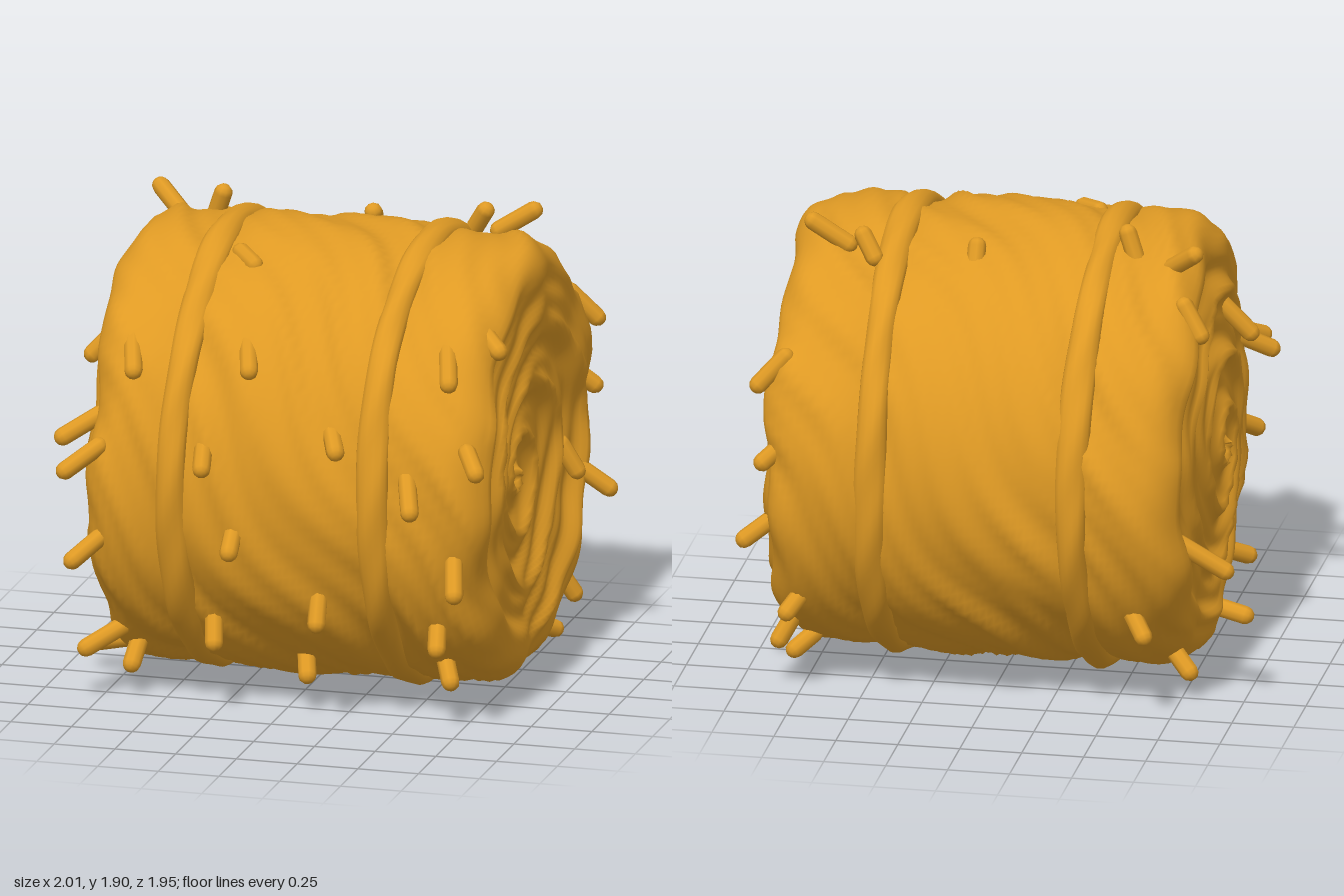
import * as THREE from 'three';
import { mergeVertices } from 'three/addons/utils/BufferGeometryUtils.js';

const CY = 0.94, CZ = -0.06, R = 0.9, CORNER = 0.15;
const BANDS = [-0.39, 0.43];
const straw = new THREE.MeshStandardMaterial({ color: 0xdf9a24 });
straw.name = 'straw';

const ridge = (t) => 1 - 2 * Math.abs(Math.sin(t / 2)) ** 0.8;
const smooth = THREE.MathUtils.smoothstep;

// Lathe about the x axis, then each vertex (x, radius, angle from the top) moved by a rule
function rolled(profile, segments, rule) {
  let geo = new THREE.LatheGeometry(profile, segments);
  geo.rotateZ(-Math.PI / 2);
  const p = geo.attributes.position;
  for (let i = 0; i < p.count; i++) {
    const r0 = Math.hypot(p.getY(i), p.getZ(i));
    const a = Math.atan2(p.getZ(i), p.getY(i));
    const { x, r, dy = 0, dz = 0 } = rule(p.getX(i), r0, a);
    p.setXYZ(i, x, CY + dy + r * Math.cos(a), CZ + dz + r * Math.sin(a));
  }
  geo.deleteAttribute('uv');
  geo.deleteAttribute('normal');
  geo = mergeVertices(geo, 1e-5);
  geo.computeVertexNormals();
  return geo;
}

// Wrinkles that wind diagonally round the roll
function wrinkle(x, a) {
  const p = a - 2 * x + 0.12 * Math.sin(3 * a + 4 * x);
  const mask = 0.6 + 0.4 * Math.sin(2 * a + 5 * x);
  return 0.011 * Math.sin(7 * p + 1.5 * Math.sin(2 * x)) + 0.013 * mask * ridge(13 * p + 2 * Math.sin(a + 3 * x))
    + 0.006 * Math.sin(22 * p + 2 * Math.sin(2 * a - 4 * x)) + 0.006 * Math.sin(3 * a + 1);
}

// Spiral layers on the round ends
function spiral(r, a, side) {
  const warp = 0.45 * Math.sin(3 * a + 5 * r) * smooth(r, 0.15, 0.5);
  const t = 2 * Math.PI * 4.6 * Math.pow(r, 0.8) + side * a + warp;
  const amp = 0.026 * (0.85 + 0.4 * Math.sin(2 * a + 6 * r + side) * smooth(r, 0.2, 0.5));
  return amp * ridge(t) + 0.008 * Math.sin(2 * t + 3 * Math.sin(2 * a)) * smooth(r, 0.1, 0.4);
}

// Half profile from the middle of one end to its rounded rim
function capProfile(rimX, centreX) {
  const pts = [], count = 42, flat = R - CORNER;
  for (let i = 0; i < count; i++) {
    const r = flat * i / count;
    pts.push(new THREE.Vector2(r, THREE.MathUtils.lerp(centreX, rimX, smooth(r, 0, flat))));
  }
  for (let i = 0; i <= 8; i++) {
    const t = i / 8 * Math.PI / 2;
    const inset = Math.sign(rimX) * CORNER * (1 - Math.cos(t));
    pts.push(new THREE.Vector2(flat + CORNER * Math.sin(t), rimX - inset));
  }
  return pts;
}

function bodyGeometry() {
  const start = capProfile(-0.80, -0.83), finish = capProfile(0.87, 0.80).reverse();
  const from = start.at(-1).y, to = finish[0].y, wall = [];
  for (let i = 1; i < 52; i++) wall.push(new THREE.Vector2(R, from + (to - from) * i / 52));
  return rolled([...start, ...wall, ...finish], 128, (x, r, a) => {
    const s = Math.sign(x), end = 1 - smooth(r, 0.68, 0.84);
    const barrel = smooth(r, 0.72, 0.88);
    const rim = smooth(Math.abs(x), 0.5, 0.8);
    let dr = wrinkle(x, a) + 0.008 * Math.cos(x * 3) - 0.008 * rim;
    for (const b of BANDS) dr -= 0.025 * Math.exp(-(((x - b) / 0.09) ** 2));
    const wobble = rim * smooth(r, 0.3, 0.8) * (0.014 * Math.sin(5 * a + s) + 0.010 * Math.sin(11 * a + 2 * s));
    const lean = s < 0 ? 0.025 * rim * smooth(r, 0.4, 0.85) * (0.4 + Math.sin(a)) : 0;
    const pull = 1 - smooth(r, 0, 0.8);
    return {
      x: x + lean + s * (wobble + end * spiral(r, a, s)),
      r: r + barrel * dr, dy: -0.04 * pull, dz: 0.07 * pull,
    };
  });
}

// Rounded tie that wavers a little on its way round
function bandGeometry(cx, phase) {
  const pts = [];
  for (let i = 0; i <= 14; i++) {
    const t = -Math.PI / 2 + i / 14 * Math.PI * 2;
    pts.push(new THREE.Vector2(0.872 + 0.052 * Math.cos(t), 0.062 * Math.sin(t)));
  }
  return rolled(pts, 112, (x, r, a) => ({
    x: cx + x * (1 + 0.08 * Math.sin(4 * a + phase)) + 0.006 * Math.sin(3 * a + phase),
    r: r + 0.005 * Math.sin(6 * a + phase) + 0.005 * Math.sin(13 * a + 40 * x),
  }));
}

function stalk(a, b) {
  const from = new THREE.Vector3(...a), to = new THREE.Vector3(...b);
  const dir = to.clone().sub(from);
  const mesh = new THREE.Mesh(new THREE.CapsuleGeometry(0.037, dir.length(), 3, 9), straw);
  mesh.position.copy(from).addScaledVector(dir, 0.5);
  mesh.quaternion.setFromUnitVectors(new THREE.Vector3(0, 1, 0), dir.normalize());
  mesh.name = 'stalk';
  return mesh;
}

export function createModel() {
  const bale = new THREE.Group();
  bale.name = 'strawBale';
  const body = new THREE.Mesh(bodyGeometry(), straw);
  body.name = 'rolledBody';
  bale.add(body);
  BANDS.forEach((x, i) => {
    const band = new THREE.Mesh(bandGeometry(x, i * 2.1), straw);
    band.name = i ? 'leftTie' : 'rightTie';
    bale.add(band);
  });

  const stalks = new THREE.Group();
  stalks.name = 'looseStalks';
  // Stalks on the front: root x, y and tip x, y
  const front = [
    [-0.62, 1.52, -0.57, 1.42], [-0.15, 1.54, -0.10, 1.45], [-0.27, 1.14, -0.24, 1.09],
    [0.25, 1.23, 0.29, 1.18], [-0.14, 0.82, -0.13, 0.75], [0.19, 0.57, 0.20, 0.45],
    [-0.27, 0.42, -0.25, 0.31], [0.06, 0.25, 0.09, 0.16], [0.67, 1.55, 0.72, 1.46],
    [0.76, 0.74, 0.79, 0.64], [0.66, 0.46, 0.68, 0.37], [0.64, 0.28, 0.69, 0.19],
    [0.57, 1.08, 0.62, 0.98], [-0.70, 1.11, -0.80, 1.04], [-0.70, 0.73, -0.78, 0.66],
    [-0.68, 0.29, -0.80, 0.22], [-0.63, 0.23, -0.64, 0.14], [0.81, 1.20, 0.87, 1.14],
  ];
  // z of the front at a height, for a given distance from the axis
  const frontZ = (y, radius) => CZ + Math.sqrt(radius ** 2 - (y - CY) ** 2);
  for (const [x0, y0, x1, y1] of front) {
    const reach = y1 > 1.1 ? 0.93 : 0.985;
    stalks.add(stalk([x0, y0, frontZ(y0, 0.86)], [x1, y1, frontZ(y1, reach)]));
  }
  // Stalks on the top, back and ends: root and tip
  const others = [
    [[-0.53, 1.76, -0.30], [-0.49, 1.87, -0.28]], [[0.10, 1.74, -0.42], [0.10, 1.81, -0.38]],
    [[0.50, 1.76, -0.45], [0.55, 1.84, -0.42]], [[0.62, 1.78, -0.37], [0.76, 1.87, -0.38]],
    [[-0.68, 1.76, -0.34], [-0.78, 1.84, -0.40]], [[-0.28, 1.78, 0.20], [-0.20, 1.76, 0.29]],
    [[-0.76, 1.45, 0.18], [-0.89, 1.31, 0.20]], [[-0.76, 1.17, 0.55], [-0.89, 1.09, 0.63]],
    [[-0.78, 0.76, -0.76], [-0.97, 0.64, -0.73]], [[-0.74, 0.15, 0.20], [-0.87, 0.12, 0.19]],
    [[-0.76, 1.66, -0.50], [-0.83, 1.55, -0.53]], [[0.80, 1.43, -0.76], [0.90, 1.32, -0.80]],
    [[0.84, 0.74, -0.69], [0.97, 0.64, -0.73]], [[0.76, 1.12, -0.82], [0.87, 1.02, -0.87]],
    [[0.84, 0.88, -0.49], [0.90, 0.77, -0.51]], [[0.78, 0.32, -0.64], [0.84, 0.21, -0.68]],
    [[0.75, 0.15, -0.42], [0.81, 0.11, -0.51]], [[0.72, 0.46, -0.77], [0.78, 0.38, -0.83]],
    [[0.78, 1.60, 0.42], [0.86, 1.54, 0.48]], [[-0.60, 0.46, -0.78], [-0.66, 0.38, -0.84]],
    [[-0.70, 0.20, -0.45], [-0.78, 0.12, -0.50]],
  ];
  for (const [a, b] of others) stalks.add(stalk(a, b));
  bale.add(stalks);
  return bale;
}
